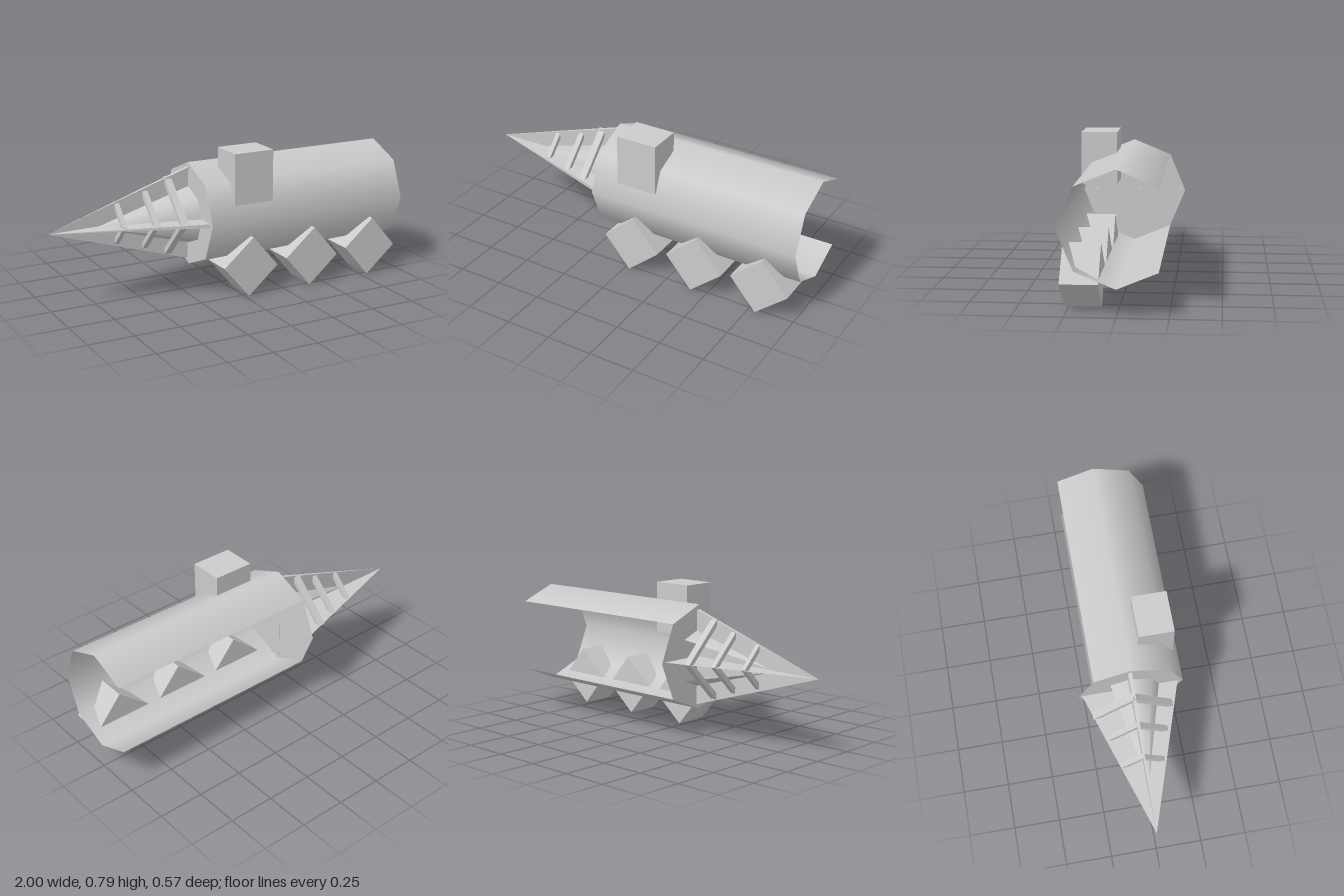
import * as THREE from 'three';

const AXIS_Y = 0.424;
const FRONT_X = -0.2;

export function createModel() {
  const model = new THREE.Group();
  const smooth = new THREE.MeshStandardMaterial({ color: 0xcccccc, side: THREE.DoubleSide });
  const flat = new THREE.MeshStandardMaterial({ color: 0xcccccc, side: THREE.DoubleSide, flatShading: true });

  const add = (name, geometry, material, x = 0, y = 0, z = 0) => {
    const mesh = new THREE.Mesh(geometry, material);
    mesh.name = name;
    mesh.position.set(x, y, z);
    model.add(mesh);
    return mesh;
  };

  // Six of eight sides along x; the two sides facing -z are left open
  const openShell = (noseRadius, tailRadius, length) =>
    new THREE.CylinderGeometry(noseRadius, tailRadius, length, 6, 1, true, -Math.PI * 0.75, Math.PI * 1.5)
      .rotateZ(Math.PI / 2);

  // Hull and the full octagonal bulkhead at its front end
  add('hull', openShell(0.285, 0.285, 1.2), smooth, 0.4, AXIS_Y);
  add('bulkhead', new THREE.CircleGeometry(0.285, 8).rotateY(-Math.PI / 2), flat, FRONT_X, AXIS_Y);

  // Drill core
  add('drillCore', openShell(0, 0.158, 0.54), smooth, -0.47, 0.419);

  // Two crossed blades: thin tetrahedra meeting at the drill tip; base corners are [y, z]
  const blade = (name, base) => {
    const tip = [-1, 0.42, -0.008];
    const [a, b, c] = base.map(([y, z]) => [FRONT_X + 0.002, y, z]);
    const corners = [tip, a, b, tip, b, c, tip, c, a, a, c, b];
    const geometry = new THREE.BufferGeometry();
    geometry.setAttribute('position', new THREE.Float32BufferAttribute(corners.flat(), 3));
    geometry.computeVertexNormals();
    add(name, geometry, flat);
  };
  blade('verticalBlade', [[0.683, 0.005], [0.683, -0.017], [0.165, -0.017]]);
  blade('horizontalBlade', [[0.41, 0.257], [0.431, 0.257], [0.431, -0.267]]);

  // Diamond-shaped rings around the drill
  const diamond = (Type, r) => {
    const path = new Type();
    path.moveTo(r, 0).lineTo(0, r).lineTo(-r, 0).lineTo(0, -r).closePath();
    return path;
  };
  for (const [x, radius, width] of [[-0.615, 0.117, 0.025], [-0.454, 0.165, 0.03], [-0.319, 0.218, 0.04]]) {
    const shape = diamond(THREE.Shape, radius);
    shape.holes.push(diamond(THREE.Path, radius - 0.035));
    const ring = new THREE.ExtrudeGeometry(shape, { depth: width, bevelEnabled: false });
    ring.translate(0, 0, -width / 2).rotateY(Math.PI / 2);
    add('drillRing', ring, flat, x, 0.428, -0.011);
  }

  // Cabin
  add('cabin', new THREE.BoxGeometry(0.23, 0.28, 0.19), flat, 0.062, 0.649, 0.16);

  // Tilted square wheels along the front side
  for (let i = 0; i < 3; i++) {
    const wheel = add('wheel', new THREE.BoxGeometry(0.231, 0.231, 0.188), flat, 0.038 + i * 0.383, 0.164, 0.181);
    wheel.rotation.z = 0.708;
  }

  return model;
}
